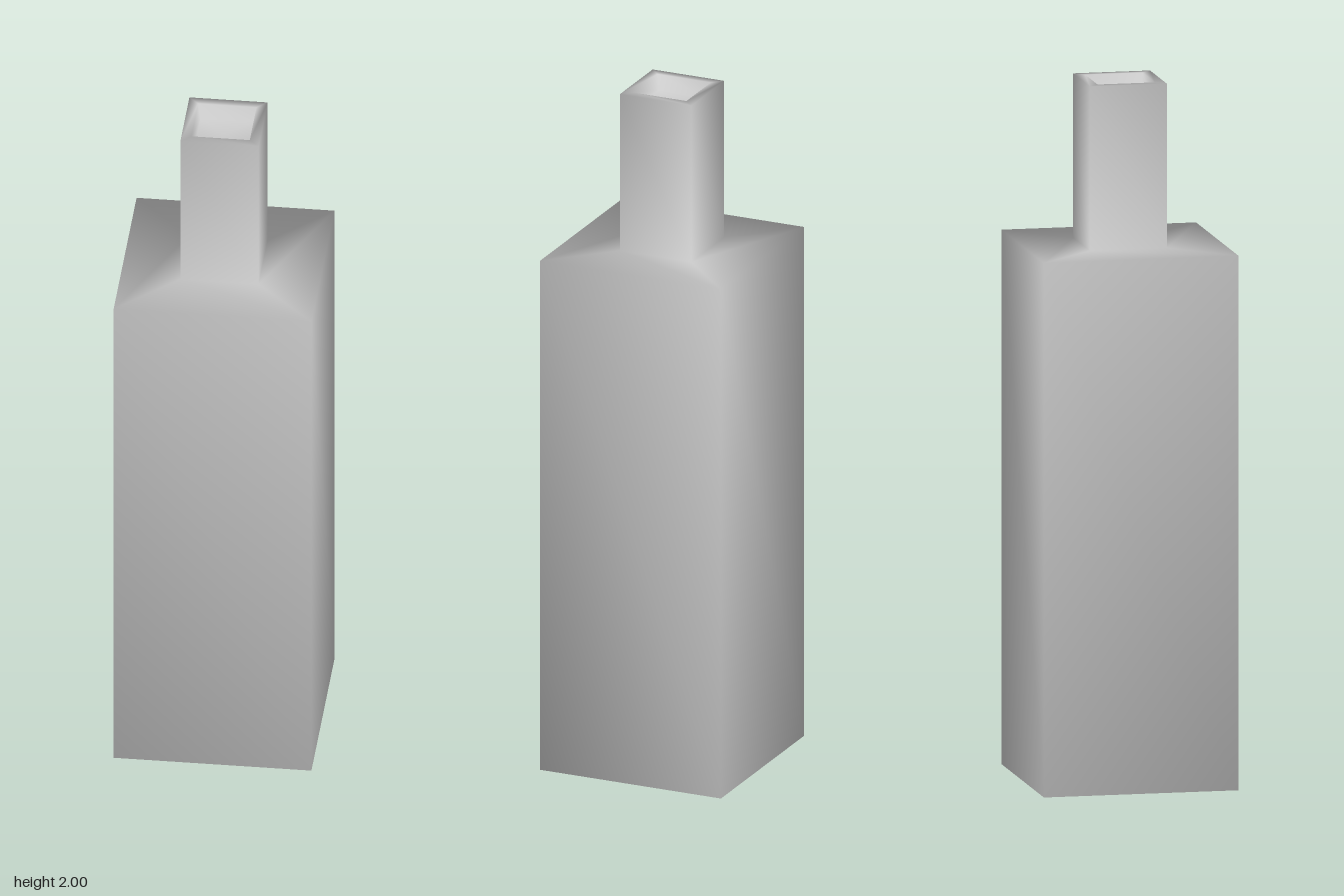
import * as THREE from 'three';

export function createModel() {
  const group = new THREE.Group();
  group.name = 'bottle';

  // Profile from the base centre, up the wall and neck, into the shallow mouth
  const profile = [
    [0, 0], [0.397, 0],           // base
    [0.397, 1.53],                // body wall
    [0.157, 1.53],                // shoulder
    [0.157, 2],                   // neck
    [0.117, 2],                   // flat rim
    [0.107, 1.955], [0, 1.955],   // recessed mouth
  ].map(([r, y]) => new THREE.Vector2(r, y));

  // Four-sided turning with smooth normals, corners on the axes
  const bottle = new THREE.Mesh(
    new THREE.LatheGeometry(profile, 4),
    new THREE.MeshStandardMaterial({ color: 0xcccccc })
  );
  bottle.name = 'bottleBody';
  group.add(bottle);
  return group;
}
